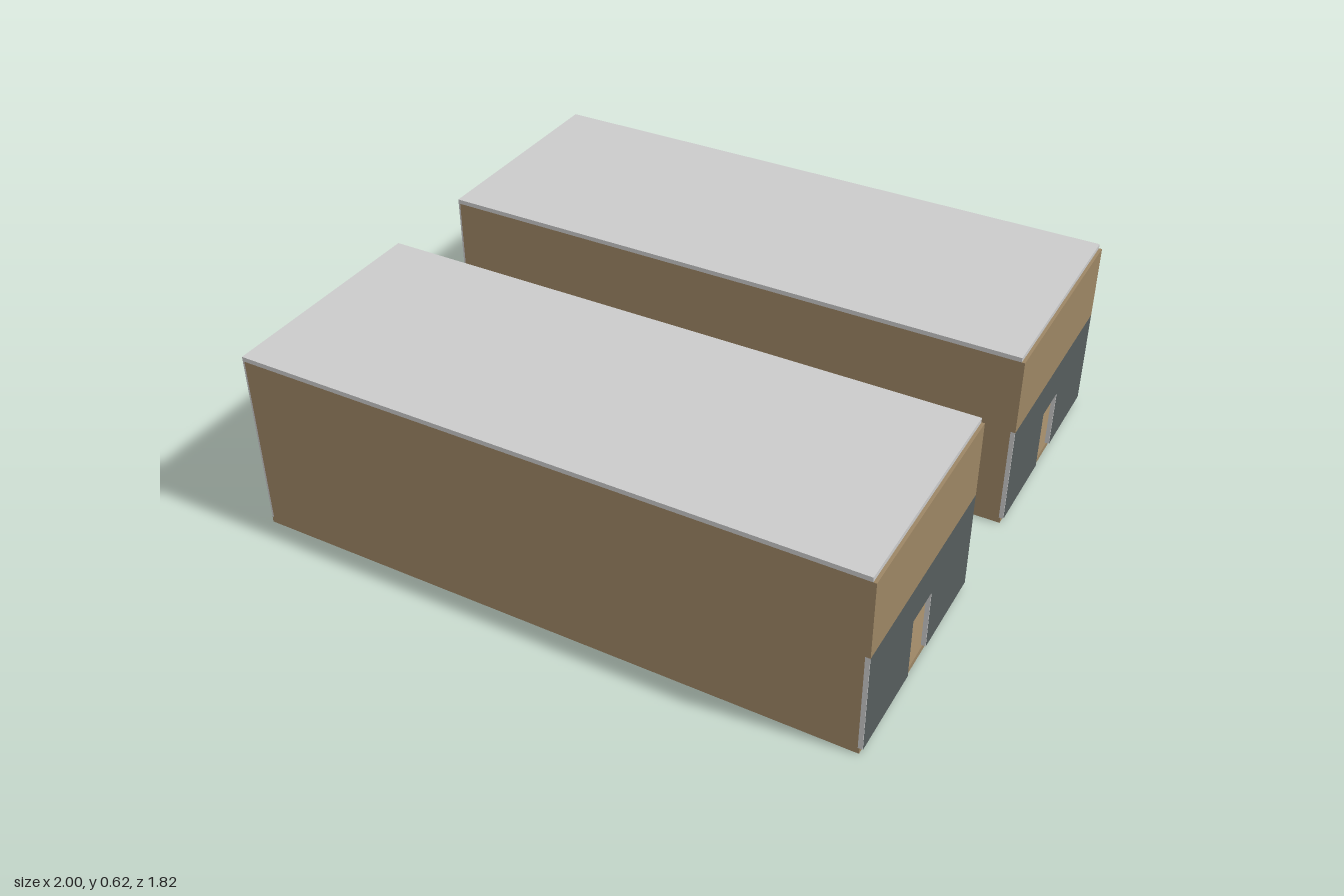
import * as THREE from 'three';

const tan = new THREE.MeshStandardMaterial({ color: 0x9c8564 });
tan.name = 'tan cladding';
const grey = new THREE.MeshStandardMaterial({ color: 0xcacaca });
grey.name = 'light grey';
const slate = new THREE.MeshStandardMaterial({ color: 0x555d5d });
slate.name = 'dark slate';

const WIDTH = 0.745, FLOOR = 0.02, EAVES = 0.605, TOP = 0.62;
const PANEL_TOP = 0.352, PANEL_BACK = 0.985;

// Box given by its minimum and maximum corners
function box(name, material, [x0, y0, z0], [x1, y1, z1]) {
  const geometry = new THREE.BoxGeometry(x1 - x0, y1 - y0, z1 - z0);
  geometry.translate((x0 + x1) / 2, (y0 + y1) / 2, (z0 + z1) / 2);
  const mesh = new THREE.Mesh(geometry, material);
  mesh.name = name;
  return mesh;
}

// Lower end wall outline, notched by the doorway
function panelShape() {
  const w = WIDTH / 2, d = 0.066, doorTop = 0.225;
  return new THREE.Shape([
    [-w, FLOOR], [-d, FLOOR], [-d, doorTop], [d, doorTop],
    [d, FLOOR], [w, FLOOR], [w, PANEL_TOP], [-w, PANEL_TOP],
  ].map(([x, y]) => new THREE.Vector2(x, y)));
}

function createHall() {
  const hall = new THREE.Group();
  const w = WIDTH / 2, t = 0.01;

  hall.add(box('floor', tan, [-1, 0, -w], [0.99, FLOOR, w]));
  hall.add(box('roof', grey, [-1, EAVES, -w], [0.99, TOP, w]));

  // Long walls, with pale edges at the open end
  for (const side of [-1, 1]) {
    const z0 = side < 0 ? -w : w - t;
    hall.add(box('sideWall', tan, [-0.994, FLOOR, z0], [PANEL_BACK, EAVES, z0 + t]));
    hall.add(box('wallEdge', grey, [-1, FLOOR, z0], [-0.994, EAVES, z0 + t]));
  }

  // Closed end: plain upper wall above a panel with a doorway
  hall.add(box('upperEndWall', tan, [PANEL_BACK, PANEL_TOP, -w], [1, EAVES, w]));
  const core = new THREE.ExtrudeGeometry(panelShape(), { depth: 0.014, bevelEnabled: false });
  core.rotateY(Math.PI / 2).translate(PANEL_BACK, 0, 0);
  const panel = new THREE.Mesh(core, grey);
  panel.name = 'doorwayPanel';
  hall.add(panel);

  const face = new THREE.ShapeGeometry(panelShape());
  face.rotateY(Math.PI / 2).translate(1, 0, 0);
  const facing = new THREE.Mesh(face, slate);
  facing.name = 'doorwayPanelFacing';
  hall.add(facing);
  return hall;
}

export function createModel() {
  const model = new THREE.Group();
  model.name = 'twinHalls';
  for (const [name, z] of [['frontHall', 0.5385], ['rearHall', -0.5385]]) {
    const hall = createHall();
    hall.name = name;
    hall.position.z = z;
    model.add(hall);
  }
  return model;
}
